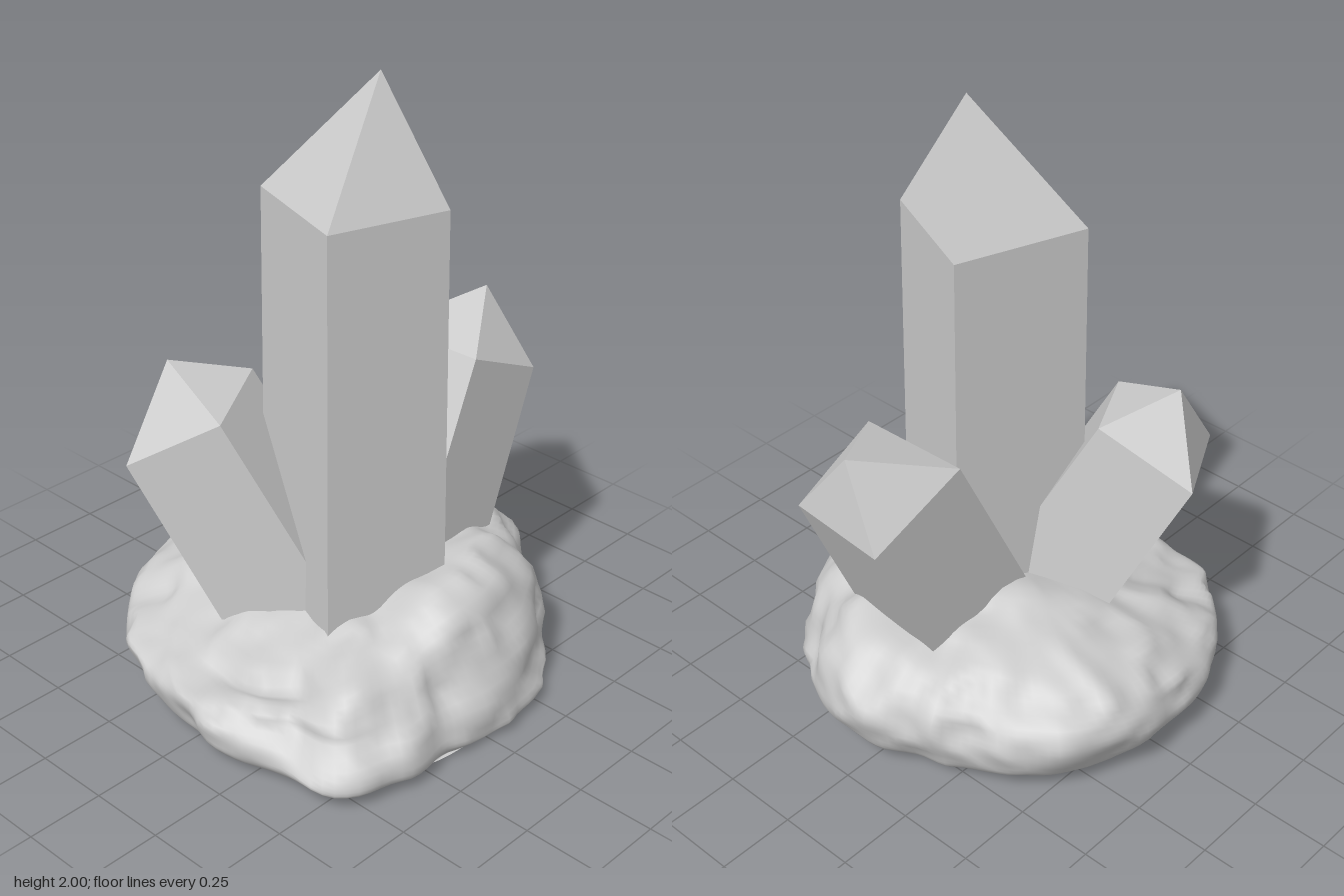
import * as THREE from 'three';

const stone = new THREE.MeshStandardMaterial({ color: 0xcccccc });
stone.name = 'pale grey stone';

function meshFrom(name, positions, index) {
  const g = new THREE.BufferGeometry();
  g.setAttribute('position', new THREE.Float32BufferAttribute(positions, 3));
  if (index) g.setIndex(index);
  g.computeVertexNormals();
  const m = new THREE.Mesh(g, stone);
  m.name = name;
  return m;
}

// Four-sided crystal: shoulder corners clockwise from above, a pointed tip,
// and a shaft that leans by (leanX, leanZ) per unit of depth and flares slightly.
function crystal(name, tip, top, depth, leanX, leanZ, flare) {
  const mx = top.reduce((s, p) => s + p[0], 0) / 4;
  const mz = top.reduce((s, p) => s + p[2], 0) / 4;
  const foot = top.map(([x, y, z]) => [
    mx + (x - mx) * flare + leanX * depth,
    y - depth,
    mz + (z - mz) * flare + leanZ * depth,
  ]);
  const v = [];
  for (let i = 0; i < 4; i++) {
    const j = (i + 1) % 4;
    v.push(...tip, ...top[j], ...top[i]);
    v.push(...top[j], ...foot[j], ...foot[i]);
    v.push(...top[j], ...foot[i], ...top[i]);
  }
  v.push(...foot[0], ...foot[2], ...foot[1], ...foot[0], ...foot[3], ...foot[2]);
  return meshFrom(name, v);
}

// Smooth lookup in a closed list of values spread evenly around the circle
function around(list, angle) {
  const n = list.length;
  const f = (angle / (Math.PI * 2)) * n;
  const i = Math.floor(f), t = f - i;
  const s = t * t * (3 - 2 * t);
  return list[i % n] * (1 - s) + list[(i + 1) % n] * s;
}

// Small seeded value noise in 3D, from -1 to 1
function hash(x, y, z) {
  let h = Math.imul(x, 374761393) ^ Math.imul(y, 668265263) ^ Math.imul(z, 2147483647) ^ 9176;
  h = Math.imul(h ^ (h >>> 13), 1274126177);
  return (((h ^ (h >>> 16)) >>> 0) / 4294967295) * 2 - 1;
}
function noise(x, y, z) {
  const c = [x, y, z].map(Math.floor);
  const [u, v, w] = [x, y, z].map((a, k) => { const t = a - c[k]; return t * t * (3 - 2 * t); });
  let sum = 0;
  for (let k = 0; k < 8; k++) {
    const a = k & 1, b = (k >> 1) & 1, d = k >> 2;
    sum += hash(c[0] + a, c[1] + b, c[2] + d) * (a ? u : 1 - u) * (b ? v : 1 - v) * (d ? w : 1 - w);
  }
  return sum;
}

// Rock measures, listed from +x round through +z
const rim = [.665, .65, .735, .80, .71, .705, .67, .66, .675, .66, .67, .67,
  .675, .685, .69, .67, .64, .645, .70, .70, .665, .675, .675, .67];
const footRadius = [.62, .64, .67, .61, .57, .54, .53, .52, .51, .51, .51, .53, .53, .56, .61, .62];
const rimHeight = [.06, .07, .08, .12, .14, .15, .15, .16, .18, .20, .20, .20, .20, .18, .12, .06];
const flank = [.89, .88, .93, .94, .93, .92, .91, .90];
const shoulder = [.69, .70, .75, .75, .75, .74, .74, .71];
const shoulderHeight = [.45, .34, .25, .23, .24, .31, .35, .37, .38, .38, .43, .47];
const bump = (d, width) => Math.exp(-(d * d) / (width * width));

function rock() {
  const N = 140, M = 38, pos = [], idx = [], base = [.04, 0, .04], baseIdx = [];
  for (let i = 0; i < N; i++) {
    const a = (i / N) * Math.PI * 2;
    const c = Math.cos(a), s = Math.sin(a);
    const R = around(rim, a), rb = around(footRadius, a);
    const yw = around(rimHeight, a), ys = around(shoulderHeight, a);
    const profile = new THREE.SplineCurve([
      [rb, 0], [R * .7 + rb * .3, yw * .35], [R, yw],
      [R * around(flank, a), yw + (ys - yw) * .6], [R * around(shoulder, a), ys],
      [R * .4, ys * .45 + .38 * .55], [0, .38],
    ].map(([r, y]) => new THREE.Vector2(r, y)));
    for (let j = 0; j <= M; j++) {
      const p = profile.getPoint(j / M);
      const fade = Math.min(1, j / 4);
      const x = p.x * c, z = p.x * s;
      // broad lumps, sharp ridges and fine chips
      const n = noise(x * 5 + 20, p.y * 8, z * 5 + 20) * .016
        + (.25 - Math.abs(noise(x * 7 + 70, p.y * 9, z * 7 + 70))) * .034
        + noise(x * 15 + 50, p.y * 20, z * 15 + 50) * .008;
      // cracks under the front-right rim and behind the front ledge
      const crack = bump(a - .9, .35) * bump(p.y - .17, .025) * .04;
      const ledge = bump(a - 1.2, .35) * bump(p.x - .54, .035) * (p.y > yw ? .035 : 0);
      // raised hump between the crystals
      const hump = p.y > yw ? bump(Math.hypot(x + .16, z + .14), .2) * .08 : 0;
      const r = Math.max(0, p.x + (n - crack) * fade * Math.min(1, p.x * 3));
      pos.push(r * c, Math.max(0, p.y + hump + (n * .6 - ledge) * fade), r * s);
      if (j === 0) base.push(r * c, 0, r * s);
      if (j < M) {
        const A = i * (M + 1) + j, B = ((i + 1) % N) * (M + 1) + j;
        idx.push(B + 1, B, A, B + 1, A, A + 1);
      }
    }
    baseIdx.push(0, i + 1, ((i + 1) % N) + 1);
  }
  const g = new THREE.Group();
  g.name = 'rock';
  g.add(meshFrom('rockBody', pos, idx), meshFrom('rockUnderside', base, baseIdx));
  return g;
}

export function createModel() {
  const model = new THREE.Group();
  model.name = 'crystalCluster';
  model.add(
    rock(),
    crystal('mainCrystal', [.147, 2, -.027],
      [[-.025, 1.62, -.265], [.35, 1.62, -.1], [.23, 1.62, .272], [-.166, 1.62, .14]],
      1.5, .003, 0, 1.05),
    crystal('frontCrystal', [-.375, 1.06, .343],
      [[-.53, .815, .222], [-.255, .985, .104], [-.105, .95, .381], [-.355, .78, .54]],
      .7, .44, -.33, 1.08),
    crystal('backCrystal', [.052, 1.12, -.64],
      [[-.122, 1.02, -.355], [-.096, .865, -.68], [.235, .88, -.667], [.244, 1.02, -.365]],
      .7, .02, .47, 1.1),
  );
  return model;
}
